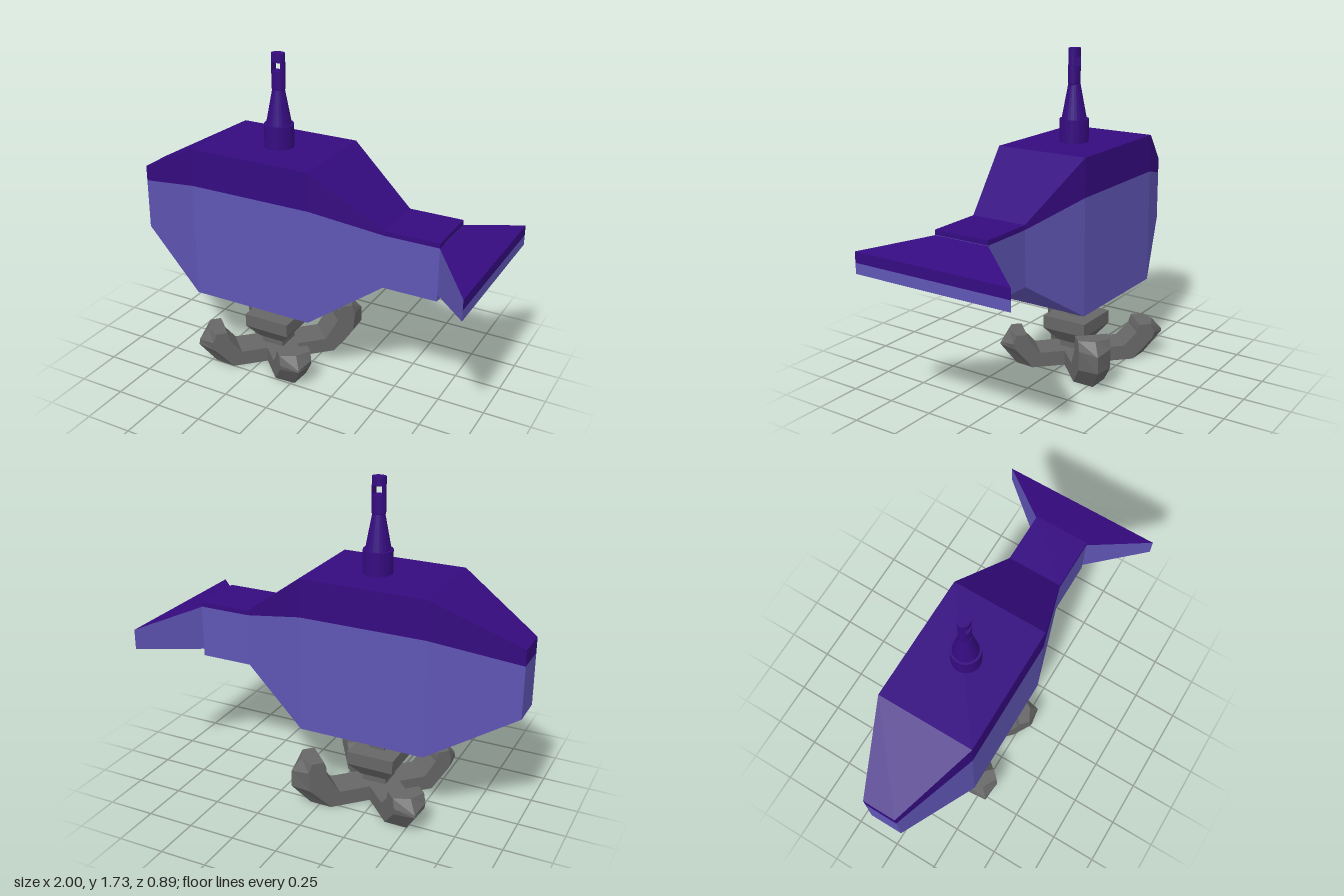
import * as THREE from 'three';

const purple = new THREE.MeshStandardMaterial({ color: 0x350b80, flatShading: true });
const violet = new THREE.MeshStandardMaterial({ color: 0x5f55b4, flatShading: true });
const iron = new THREE.MeshStandardMaterial({ color: 0x666666, flatShading: true });
const purpleThin = purple.clone();
const violetThin = violet.clone();
purpleThin.side = violetThin.side = THREE.DoubleSide;

function add(parent, name, geometry, material, x = 0, y = 0, z = 0) {
  const mesh = new THREE.Mesh(geometry, material);
  mesh.name = name;
  mesh.position.set(x, y, z);
  parent.add(mesh);
  return mesh;
}

// flat-shaded geometry from triangles of [x, y, z] corners
function fromTriangles(tris) {
  const g = new THREE.BufferGeometry();
  g.setAttribute('position', new THREE.Float32BufferAttribute(tris.flat(2), 3));
  g.computeVertexNormals();
  return g;
}

const fromQuads = (quads) => fromTriangles(quads.flatMap(([a, b, c, d]) => [[a, b, c], [a, c, d]]));

// closed loft through rings of equal point count, turned to face outward
function loft(rings) {
  const tris = [];
  const n = rings[0].length;
  const last = rings[rings.length - 1];
  for (let i = 0; i < rings.length - 1; i++) {
    for (let j = 0; j < n; j++) {
      const k = (j + 1) % n;
      const [a, b, c, d] = [rings[i][j], rings[i][k], rings[i + 1][k], rings[i + 1][j]];
      tris.push([a, b, c], [a, c, d]);
    }
  }
  for (let j = 1; j < n - 1; j++) {
    tris.push([rings[0][0], rings[0][j + 1], rings[0][j]], [last[0], last[j], last[j + 1]]);
  }
  const v = (p) => new THREE.Vector3(...p);
  const volume = tris.reduce((s, [a, b, c]) => s + v(a).dot(v(b).cross(v(c))), 0);
  return fromTriangles(volume < 0 ? tris.map(([a, b, c]) => [a, c, b]) : tris);
}

const rect = (x, y0, y1, w) => [[x, y0, w], [x, y1, w], [x, y1, -w], [x, y0, -w]];

function buildBody(root) {
  // x, bottom, colour split, top, half width
  const sections = [
    [-1, 0.645, 0.925, 1.01, 0.09],
    [-0.565, 0.415, 1.04, 1.243, 0.26],
    [0.115, 0.415, 1.04, 1.243, 0.26],
    [0.48, 0.665, 0.95, 0.975, 0.153],
    [0.768, 0.665, 0.95, 0.975, 0.153],
  ];
  add(root, 'lowerBody', loft(sections.map(([x, b, s, , w]) => rect(x, b, s, w))), violet);
  add(root, 'upperBody', loft(sections.map(([x, , s, t, w]) => rect(x, s, t, w))), purple);
}

function buildTail(root) {
  const [a, b, c, d] = rect(0.768, 0.703, 0.948, 0.153);
  const [e, f, g, h] = rect(1, 0.77, 0.88, 0.443);
  const [m, n] = [[1, 0.825, 0.443], [1, 0.825, -0.443]];
  add(root, 'tailTop', fromQuads([[b, f, g, c], [f, m, n, g]]), purpleThin);
  add(root, 'tailUnderside', fromQuads([[a, e, f, b], [d, c, g, h], [a, d, h, e], [m, e, h, n]]), violetThin);
}

function buildMast(root) {
  const mast = new THREE.Group();
  mast.name = 'mast';
  mast.position.x = -0.195;
  root.add(mast);
  add(mast, 'mastBase', new THREE.CylinderGeometry(0.077, 0.077, 0.135, 24), purple, 0, 1.2975);
  add(mast, 'mastCone', new THREE.CylinderGeometry(0.032, 0.066, 0.18, 24), purple, 0, 1.455);

  // oval eyelet with a window through it
  const eyelet = new THREE.Group();
  eyelet.name = 'eyelet';
  eyelet.scale.z = 0.82;
  mast.add(eyelet);
  const r = 0.037;
  const angle = Math.acos(0.025 / r);
  add(eyelet, 'eyeletFoot', new THREE.CylinderGeometry(r, 0.031, 0.015, 20), purple, 0, 1.5425);
  add(eyelet, 'eyeletLower', new THREE.CylinderGeometry(r, r, 0.09, 20), purple, 0, 1.595);
  add(eyelet, 'eyeletCap', new THREE.CylinderGeometry(r, r, 0.045, 20), purple, 0, 1.7075);
  const segment = new THREE.Shape();
  segment.absarc(0, 0, r, -angle, angle, false);
  const post = new THREE.ExtrudeGeometry(segment, { depth: 0.045, bevelEnabled: false, curveSegments: 6 });
  post.rotateX(-Math.PI / 2);
  for (const turn of [0, Math.PI]) {
    add(eyelet, 'eyeletPost', post, purple, 0, 1.64).rotation.y = turn;
  }
}

// claw arm along +x: outer ridge, two shoulders, two inner corners per ring
function armGeometry(height, reach) {
  const w = 0.085;
  const ring = (or, oy, sr, sy, ir, iy) =>
    [[or, oy, 0], [sr, sy, w], [ir, iy, w], [ir, iy, -w], [sr, sy, -w]].map(([x, y, z]) => [x * reach, y, z]);
  return loft([
    ring(0, 0, 0, 0, 0, 0.083),
    ring(0.385, 0, 0.3, 0, 0.25, 0.083),
    ring(0.488, 0.12, 0.41, 0.115, 0.32, height * 0.5 + 0.055),
    ring(0.485, height - 0.065, 0.42, height - 0.05, 0.325, height - 0.025),
    ring(0.43, height, 0.4, height, 0.335, height),
  ]);
}

function buildAnchor(root) {
  const anchor = new THREE.Group();
  anchor.name = 'anchor';
  anchor.position.set(-0.222, 0, -0.005);
  root.add(anchor);
  add(anchor, 'stem', new THREE.BoxGeometry(0.085, 0.2, 0.075), iron, 0, 0.34);
  add(anchor, 'neck', new THREE.BoxGeometry(0.13, 0.07, 0.13), iron, 0, 0.1);
  add(anchor, 'bowl', loft([[0.12, 0.075], [0.195, 0.131], [0.268, 0.131]].map(([y, s]) =>
    [[s, y, s], [s, y, -s], [-s, y, -s], [-s, y, s]])), iron);
  // turn in degrees, height, reach
  for (const [name, turn, height, reach] of [
    ['backLeftArm', 45, 0.275, 1.01],
    ['backRightArm', 135, 0.2, 1.02],
    ['frontRightArm', 225, 0.215, 0.92],
    ['frontLeftArm', 315, 0.195, 0.88],
  ]) {
    add(anchor, name, armGeometry(height, reach), iron).rotation.y = THREE.MathUtils.degToRad(turn);
  }
}

export function createModel() {
  const root = new THREE.Group();
  root.name = 'airship';
  buildBody(root);
  buildTail(root);
  buildMast(root);
  buildAnchor(root);
  return root;
}
